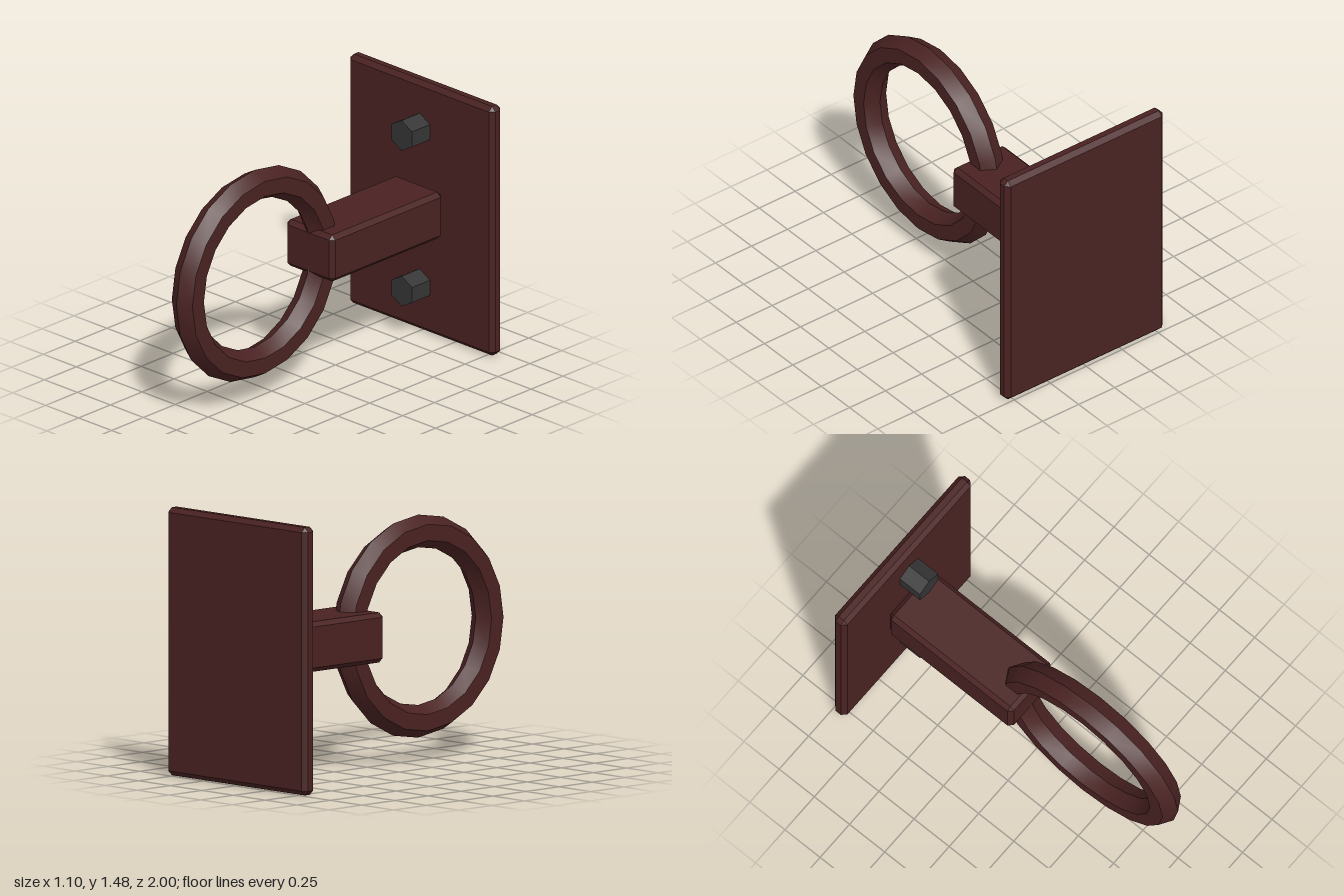
import * as THREE from 'three';
import { toCreasedNormals } from 'three/addons/utils/BufferGeometryUtils.js';
import { ConvexGeometry } from 'three/addons/geometries/ConvexGeometry.js';

// Box with every edge cut by a flat chamfer
function chamferBox(w, h, d, c) {
  const points = [];
  for (const sx of [-1, 1]) for (const sy of [-1, 1]) for (const sz of [-1, 1]) {
    const x = w / 2, y = h / 2, z = d / 2;
    points.push(
      new THREE.Vector3(sx * x, sy * (y - c), sz * (z - c)),
      new THREE.Vector3(sx * (x - c), sy * y, sz * (z - c)),
      new THREE.Vector3(sx * (x - c), sy * (y - c), sz * z),
    );
  }
  return new ConvexGeometry(points);
}

export function createModel() {
  const model = new THREE.Group();
  model.name = 'wallRing';

  const rust = new THREE.MeshStandardMaterial({ color: 0x4a2222 });
  rust.name = 'dark red iron';
  const iron = new THREE.MeshStandardMaterial({ color: 0x353535 });
  iron.name = 'dark grey iron';

  function add(name, geometry, material, x, y, z) {
    const mesh = new THREE.Mesh(geometry, material);
    mesh.name = name;
    mesh.position.set(x, y, z);
    model.add(mesh);
    return mesh;
  }

  const midY = 0.739;

  // Wall plate and the arm standing out from it
  add('wallPlate', chamferBox(1.1, 1.478, 0.088, 0.026), rust, 0, midY, -0.956);
  add('arm', chamferBox(0.364, 0.276, 0.876, 0.025), rust, 0, midY, -0.474);

  // Ring with a six-sided section, standing in the x = 0 plane
  const ringGeometry = new THREE.TorusGeometry(0.525, 0.09, 6, 20);
  ringGeometry.rotateY(Math.PI / 2);
  add('ring', toCreasedNormals(ringGeometry, THREE.MathUtils.degToRad(35)), rust, 0, midY, 0.385);

  // Hexagonal bolt heads above and below the arm
  const boltGeometry = toCreasedNormals(
    new THREE.CylinderGeometry(0.09, 0.09, 0.16, 6).rotateX(Math.PI / 2), 0.5);
  for (const [name, side] of [['upperBolt', 1], ['lowerBolt', -1]]) {
    add(name, boltGeometry, iron, 0, midY + side * 0.462, -0.85);
  }

  return model;
}
